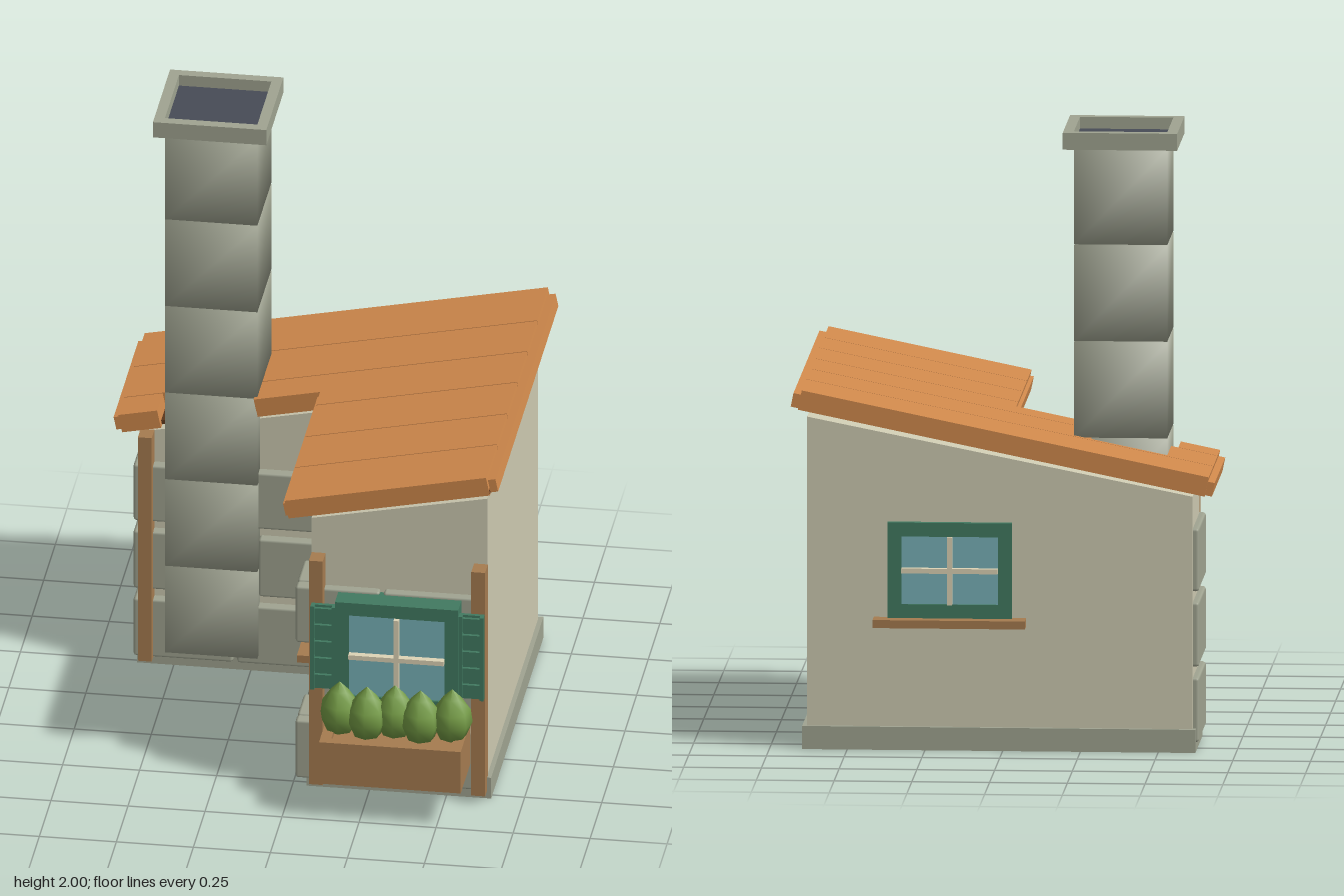
import * as THREE from 'three';
import { mergeVertices } from 'three/addons/utils/BufferGeometryUtils.js';
import { RoundedBoxGeometry } from 'three/addons/geometries/RoundedBoxGeometry.js';

const mat = (name, color) => {
  const m = new THREE.MeshStandardMaterial({ color });
  m.name = name;
  return m;
};

export function createModel() {
  const model = new THREE.Group();
  model.name = 'cottage';
  const plaster = mat('plaster', 0xcecbb2), stone = mat('stone', 0xa0a491), tile = mat('roofOrange', 0xd0894c),
    wood = mat('wood', 0xa67c50), paint = mat('greenPaint', 0x417a61), glass = mat('glass', 0x78b2b8),
    cream = mat('cream', 0xded4b6), leaf = mat('leaf', 0x739a44), under = mat('darkTimber', 0x60391d),
    soot = mat('soot', 0x474b56);

  const add = (parent, name, geo, material) => {
    const m = new THREE.Mesh(geo, material);
    m.name = name;
    parent.add(m);
    return m;
  };
  const group = (name, parent = model) => {
    const g = new THREE.Group();
    g.name = name;
    parent.add(g);
    return g;
  };
  // Box given by its min and max on each axis
  const span = (parent, name, material, x0, x1, y0, y1, z0, z1) => {
    const m = add(parent, name, new THREE.BoxGeometry(x1 - x0, y1 - y0, z1 - z0), material);
    m.position.set((x0 + x1) / 2, (y0 + y1) / 2, (z0 + z1) / 2);
    return m;
  };
  const block = (parent, x0, x1, y0, y1, z0, z1) => {
    const m = add(parent, 'wallStone', new RoundedBoxGeometry(x1 - x0, y1 - y0, z1 - z0, 1, 0.01), stone);
    m.position.set((x0 + x1) / 2, (y0 + y1) / 2, (z0 + z1) / 2);
  };

  // Walls: two prisms with a sloping top, forming an L
  const wall = (name, x0, x1, z0, z1) => {
    const top = x => 0.952 + 0.2 * x;
    const s = new THREE.Shape([[x0, 0.06], [x1, 0.06], [x1, top(x1)], [x0, top(x0)]].map(p => new THREE.Vector2(...p)));
    add(model, name, new THREE.ExtrudeGeometry(s, { depth: z1 - z0, bevelEnabled: false }), plaster).position.z = z0;
  };
  wall('backWalls', -0.61, 0.63, -0.585, -0.25);
  wall('wingWalls', 0.06, 0.63, -0.25, 0.51);

  // L-shaped plinth
  const plan = new THREE.Shape([[-0.62, 0.6], [-0.62, 0.235], [0.045, 0.235], [0.045, -0.525], [0.645, -0.525], [0.645, 0.6]]
    .map(p => new THREE.Vector2(...p)));
  add(model, 'plinth', new THREE.ExtrudeGeometry(plan, { depth: 0.075, bevelEnabled: false }), stone).rotation.x = -Math.PI / 2;

  // Stone courses
  const stones = group('stoneCourses');
  [[0.03, 0.24], [0.275, 0.485], [0.52, 0.725]].forEach(([y0, y1], row) => {
    const odd = row === 1;
    const split = odd ? -0.23 : -0.3;
    block(stones, -0.63, split - 0.006, y0, y1, -0.27, -0.22);
    block(stones, split + 0.006, -0.01, y0, y1, -0.27, -0.22);
    block(stones, -0.63, -0.595, y0, y1, -0.575, -0.26);
    if (odd) {
      block(stones, 0.065, 0.33, y0, y1, 0.49, 0.535);
      block(stones, 0.342, 0.625, y0, y1, 0.49, 0.535);
    } else {
      block(stones, 0.01, 0.284, y0, y1, 0.49, 0.535);
      block(stones, 0.296, 0.625, y0, y1, 0.49, 0.535);
      block(stones, 0.01, 0.08, y0, y1, 0.345, 0.485);
    }
  });
  block(stones, 0.02, 0.08, 0.03, 0.24, -0.22, 0.05);
  block(stones, 0.02, 0.08, 0.03, 0.24, 0.062, 0.333);

  // Corner posts
  [[-0.61, -0.25], [0.06, 0.51], [0.587, 0.51]].forEach(([x, z]) =>
    span(model, 'cornerPost', wood, x, x + 0.045, 0.03, 0.84, z, z + 0.06));

  // Pitched roof, laid flat and then tilted
  const roof = group('roof');
  roof.position.y = 0.995;
  roof.rotation.z = 0.203;
  const L = -0.674, R = 0.662, W = -0.005;
  const cx0 = -0.545, cx1 = -0.225;
  span(roof, 'backSoffit', under, L, R, 0, 0.014, -0.75, -0.205);
  span(roof, 'wingSoffit', under, W, R, 0, 0.014, -0.205, 0.575);
  const cuts = [-0.755, -0.52, -0.305, -0.09, 0.13, 0.345, 0.58];
  const g = 0.002;
  for (let i = 0; i < 6; i++) {
    const z0 = cuts[i] + g, z1 = cuts[i + 1] - g;
    if (i < 2) span(roof, 'roofBoard', tile, L, R, 0.014, 0.062, z0, z1);
    else if (i === 2) {
      // The board beside the inner corner is cut around the chimney
      span(roof, 'roofBoard', tile, L, cx0, 0.014, 0.062, z0, -0.182);
      span(roof, 'roofBoard', tile, cx1, W, 0.014, 0.062, z0, -0.182);
      span(roof, 'roofBoard', tile, W, R, 0.014, 0.062, z0, z1);
    } else span(roof, 'roofBoard', tile, W, R, 0.014, 0.062, z0, z1);
  }
  // Fascia strips
  span(roof, 'highFascia', tile, R, R + 0.025, 0, 0.045, -0.735, 0.56);
  span(roof, 'lowFascia', tile, L - 0.022, L, 0, 0.045, -0.735, -0.205);
  span(roof, 'wingFascia', tile, W - 0.012, W, 0, 0.045, -0.205, 0.56);
  span(roof, 'frontFascia', tile, W, R, -0.002, 0.03, 0.56, 0.578);
  span(roof, 'backFascia', tile, L, R, -0.002, 0.03, -0.753, -0.735);
  span(roof, 'innerFascia', tile, L, cx0, -0.002, 0.03, -0.205, -0.184);
  span(roof, 'innerFascia', tile, cx1, W, -0.002, 0.03, -0.205, -0.184);

  // Chimney of soft-shaded blocks
  const chimney = group('chimney');
  chimney.position.set(-0.373, 0, -0.348);
  const bh = 0.314;
  let soft = new THREE.BoxGeometry(0.3, bh - 0.004, 0.3);
  soft.deleteAttribute('normal');
  soft.deleteAttribute('uv');
  soft = mergeVertices(soft);
  soft.computeVertexNormals();
  for (let i = 0; i < 6; i++) add(chimney, 'chimneyBlock', soft, stone).position.y = 0.061 + bh * (i + 0.5);
  const square = (T, r) => new T([[-r, -r], [r, -r], [r, r], [-r, r]].map(p => new THREE.Vector2(...p)));
  const rim = square(THREE.Shape, 0.184);
  rim.holes.push(square(THREE.Path, 0.15));
  const cap = add(chimney, 'chimneyCap', new THREE.ExtrudeGeometry(rim, { depth: 0.055, bevelEnabled: false }), stone);
  cap.rotation.x = -Math.PI / 2;
  cap.position.y = 1.945;
  span(chimney, 'flue', soot, -0.151, 0.151, 1.945, 1.962, -0.151, 0.151);

  // Window facing +z, with its origin at the middle of the bottom edge on the wall
  const makeWindow = (name, w, h, d, sill) => {
    const win = group(name), f = 0.045, a = w / 2;
    span(win, 'frameSide', paint, -a, -a + f, 0, h, 0, d);
    span(win, 'frameSide', paint, a - f, a, 0, h, 0, d);
    span(win, 'frameTop', paint, -a + f, a - f, h - f, h, 0, d);
    span(win, 'frameBottom', paint, -a + f, a - f, 0, f, 0, d);
    span(win, 'pane', glass, -a + f, a - f, f, h - f, 0, d - 0.008);
    span(win, 'glazingBar', cream, -0.008, 0.008, f, h - f, 0, d + 0.016);
    span(win, 'glazingBar', cream, -a + f, a - f, h / 2 - 0.008, h / 2 + 0.008, 0, d + 0.014);
    if (sill) span(win, 'sill', wood, -a - 0.045, a + 0.045, -0.026, 0, 0, 0.07);
    return win;
  };
  const back = makeWindow('backWindow', 0.4, 0.31, 0.022, true);
  back.position.set(0.17, 0.43, -0.585);
  back.rotation.y = Math.PI;
  const side = makeWindow('sideWindow', 0.4, 0.31, 0.03, true);
  side.position.set(0.06, 0.385, 0.12);
  side.rotation.y = -Math.PI / 2;
  makeWindow('frontWindow', 0.4, 0.38, 0.09, false).position.set(0.35, 0.335, 0.515);

  // Louvred shutters
  [0.11, 0.59].forEach(x => {
    const s = group('shutter');
    s.position.set(x, 0.39, 0.572);
    span(s, 'shutterBack', paint, -0.04, 0.04, 0, 0.3, 0, 0.012);
    span(s, 'stile', paint, -0.041, -0.028, 0, 0.3, 0, 0.028);
    span(s, 'stile', paint, 0.028, 0.041, 0, 0.3, 0, 0.028);
    for (let i = 0; i < 5; i++) span(s, 'slat', paint, -0.028, 0.028, i * 0.06 + 0.004, i * 0.06 + 0.052, 0, 0.023);
  });

  // Flower box
  const box = group('planter');
  span(box, 'planterFront', wood, 0.12, 0.58, 0.13, 0.28, 0.72, 0.75);
  span(box, 'planterBack', wood, 0.12, 0.58, 0.13, 0.28, 0.535, 0.6);
  span(box, 'planterEnd', wood, 0.12, 0.155, 0.13, 0.28, 0.6, 0.72);
  span(box, 'planterEnd', wood, 0.545, 0.58, 0.13, 0.28, 0.6, 0.72);
  span(box, 'planterBed', wood, 0.155, 0.545, 0.13, 0.262, 0.6, 0.72);

  // Faceted bushes
  const bud = new THREE.LatheGeometry([[0, 0], [0.045, 0.01], [0.066, 0.06], [0.06, 0.105], [0.03, 0.15], [0, 0.18]]
    .map(p => new THREE.Vector2(...p)), 7);
  [[0.17, 0.635], [0.262, 0.658], [0.35, 0.635], [0.436, 0.658], [0.535, 0.635]].forEach(([x, z], i) => {
    const b = add(box, 'bush', bud, leaf);
    b.position.set(x, 0.265, z);
    b.rotation.y = i * 0.9;
  });

  return model;
}
